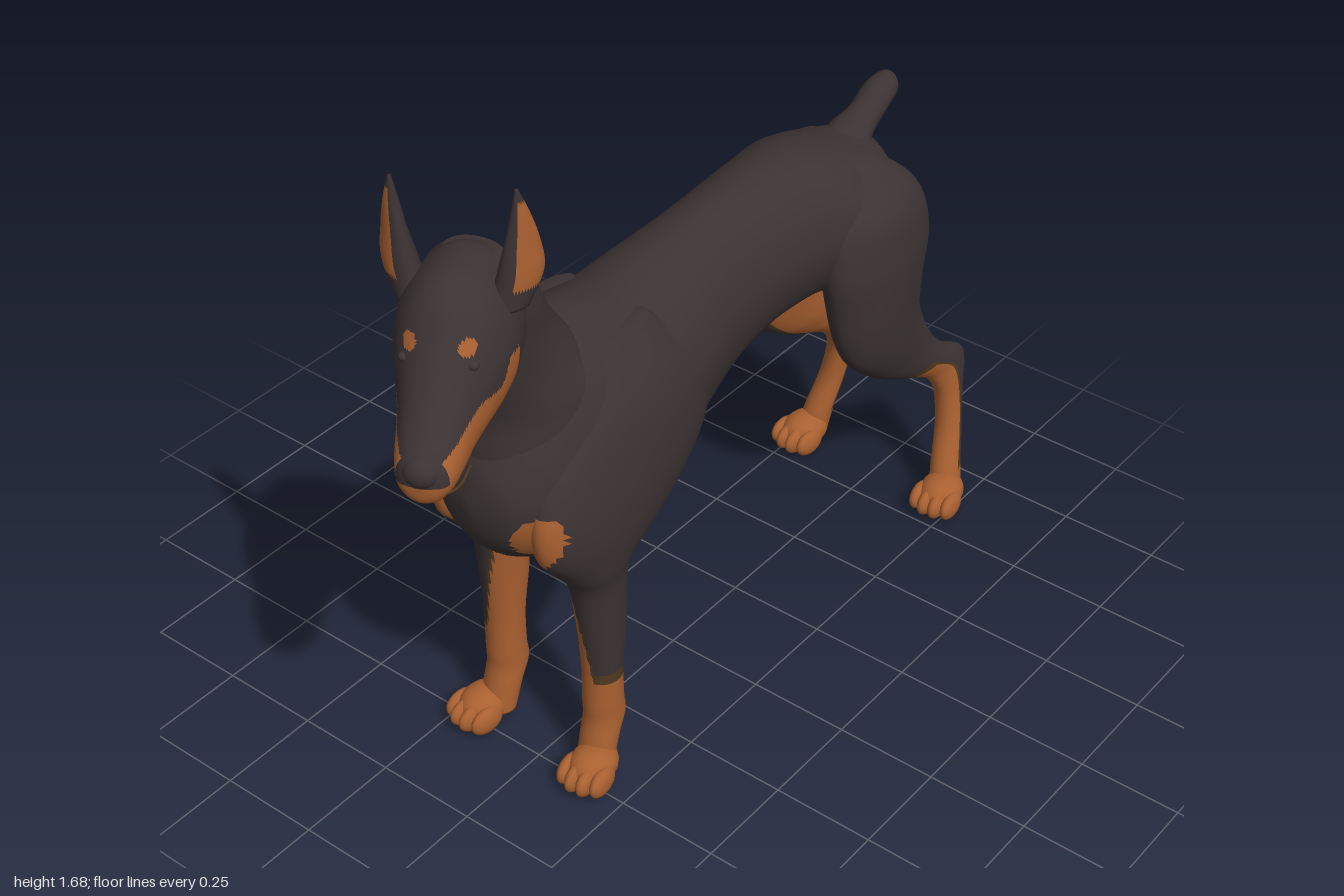
import * as THREE from 'three';

const material = (name, color) => Object.assign(new THREE.MeshStandardMaterial({ color }), { name });

// Smooth value between rows b and c of a profile
const spline = (a, b, c, d, t) =>
  b + 0.5 * t * (c - a + t * (2 * a - 5 * b + 4 * c - d + t * (3 * (b - c) + d - a)));

const COAT = 0, BLEND = 1, TAN = 2;
const band = (score) => (score < 0 ? COAT : score < 0.12 ? BLEND : TAN);

export function createModel() {
  const model = new THREE.Group();
  model.name = 'dog';
  const furs = [material('darkCoat', 0x3b3233), material('blendBrown', 0x4f3a1f), material('tanMarkings', 0xa96030)];

  // Oval cross-sections. Row: [position, centre x, half width, low, high].
  // axis 'z': rows run back to front, low/high are heights.
  // axis 'y': rows run top to bottom, low/high are depths.
  // paint(x, y, z, u, v) picks a fur for each face; u, v are the ring direction.
  function loft(name, parent, axis, rows, paint = () => COAT, sides = 48, steps = 8) {
    const pos = [], rings = [], lists = [[], [], []];
    const at = (i) => rows[Math.min(Math.max(i, 0), rows.length - 1)];
    for (let i = 0; i < rows.length - 1; i++)
      for (let k = 0; k < steps; k++)
        rings.push(rows[i].map((_, c) => spline(at(i - 1)[c], at(i)[c], at(i + 1)[c], at(i + 2)[c], k / steps)));
    rings.push(rows[rows.length - 1]);
    const put = (p, x, w) => (axis === 'z' ? pos.push(x, w, p) : pos.push(x, p, w));
    for (const [p, cx, hw, lo, hi] of rings)
      for (let j = 0; j < sides; j++) {
        const a = (j / sides) * Math.PI * 2;
        put(p, cx + Math.max(hw, 0.001) * Math.cos(a), (lo + hi) / 2 + ((hi - lo) / 2) * Math.sin(a));
      }
    const face = (a, b, c, ang) => {
      const m = [0, 1, 2].map((k) => (pos[a * 3 + k] + pos[b * 3 + k] + pos[c * 3 + k]) / 3);
      lists[paint(...m, Math.cos(ang), Math.sin(ang))].push(a, b, c);
    };
    const last = rings.length - 1, ends = [rings[0], rings[last]].map(([p, cx, , lo, hi]) => {
      put(p, cx, (lo + hi) / 2);
      return pos.length / 3 - 1;
    });
    for (let j = 0; j < sides; j++) {
      const n = (j + 1) % sides, ang = ((j + 0.5) / sides) * Math.PI * 2;
      for (let i = 0; i < last; i++) {
        const a = i * sides + j, b = i * sides + n;
        face(a, b, a + sides, ang);
        face(b, b + sides, a + sides, ang);
      }
      face(n, j, ends[0], ang);
      face(last * sides + j, last * sides + n, ends[1], ang);
    }
    const geo = new THREE.BufferGeometry();
    geo.setAttribute('position', new THREE.Float32BufferAttribute(pos, 3));
    geo.setIndex(lists.flat());
    let start = 0;
    lists.forEach((l, m) => { if (l.length) geo.addGroup(start, l.length, m); start += l.length; });
    geo.computeVertexNormals();
    const mesh = new THREE.Mesh(geo, furs);
    mesh.name = name;
    parent.add(mesh);
  }

  function ball(name, parent, mat, p, r) {
    const mesh = new THREE.Mesh(new THREE.SphereGeometry(1, 18, 12), mat);
    mesh.name = name;
    mesh.position.set(...p);
    mesh.scale.set(...r);
    parent.add(mesh);
  }

  const MID = -0.02; // the trunk sits slightly off centre
  const chestSpot = (x, y, z) => {
    const dx = Math.abs(x - MID) - 0.137 - (y - 0.76) * 0.25;
    return z > 0.46 && (dx / 0.05) ** 2 + ((y - 0.76) / 0.075) ** 2 < 1;
  };

  // Trunk: rump, tucked waist, deep chest
  loft('body', model, 'z', [
    [-0.78, 0.01, 0.94, 0.98], [-0.765, 0.07, 0.85, 1.05], [-0.72, 0.13, 0.8, 1.1], [-0.62, 0.18, 0.78, 1.135],
    [-0.5, 0.188, 0.78, 1.172], [-0.4, 0.168, 0.79, 1.185], [-0.25, 0.153, 0.785, 1.187], [-0.1, 0.153, 0.745, 1.18],
    [0.05, 0.18, 0.69, 1.165], [0.2, 0.203, 0.63, 1.155], [0.35, 0.2, 0.585, 1.185], [0.45, 0.188, 0.592, 1.19],
    [0.54, 0.168, 0.63, 1.1], [0.61, 0.137, 0.68, 1.01], [0.655, 0.085, 0.745, 0.93], [0.673, 0.01, 0.82, 0.85],
  ].map(([z, w, lo, hi]) => [z, MID, w, lo, hi]), (x, y, z, u, v) => {
    if (chestSpot(x, y, z)) return TAN;
    if (z < -0.6) return band(Math.min((0.125 - Math.abs(x - MID)) * 8, (1.06 - y - Math.abs(x - MID) * 0.5) * 5));
    if (z < -0.38) return v < -0.9 ? TAN : COAT;
    return z < 0.58 && v < (z < 0.3 ? -0.8 : -0.9) ? BLEND : COAT;
  });

  // Neck, with a small tan throat
  loft('neck', model, 'y', [
    [1.48, 0.02, 0.07, 0.6, 0.7], [1.42, 0.0, 0.11, 0.545, 0.72], [1.34, -0.01, 0.122, 0.49, 0.71],
    [1.25, -0.02, 0.125, 0.44, 0.69], [1.15, -0.02, 0.13, 0.365, 0.66], [1.05, -0.02, 0.15, 0.28, 0.635],
    [0.92, -0.02, 0.15, 0.25, 0.645], [0.8, -0.02, 0.1, 0.3, 0.6],
  ], (x, y, z, u, v) => band(Math.min((v - 0.87) * 2, (y - 1.1) * 5, (1.25 - y) * 5)));

  // Docked tail
  loft('tail', model, 'z', [
    [-0.862, MID, 0.006, 1.155, 1.18], [-0.85, MID, 0.03, 1.13, 1.198], [-0.8, MID, 0.04, 1.108, 1.193],
    [-0.74, MID, 0.042, 1.066, 1.158], [-0.68, MID, 0.06, 1.03, 1.135], [-0.6, MID, 0.03, 1.04, 1.12],
  ]);

  // Head, turned a little to its left
  const head = new THREE.Group();
  head.name = 'head';
  head.position.set(0.035, 0, 0.717);
  head.rotation.y = 0.45;
  model.add(head);
  loft('skullAndMuzzle', head, 'z', [
    [-0.16, 0.01, 1.35, 1.38], [-0.14, 0.075, 1.27, 1.45], [-0.08, 0.112, 1.2, 1.495], [0, 0.125, 1.165, 1.505],
    [0.06, 0.12, 1.15, 1.5], [0.11, 0.105, 1.14, 1.475], [0.16, 0.085, 1.128, 1.405], [0.2, 0.075, 1.12, 1.345],
    [0.25, 0.066, 1.12, 1.285], [0.285, 0.054, 1.128, 1.248], [0.303, 0.034, 1.145, 1.225], [0.31, 0.004, 1.18, 1.19],
  ].map(([z, w, lo, hi]) => [z, 0, w, lo, hi]), (x, y, z) => {
    const ax = Math.abs(x);
    if (Math.hypot(ax - 0.058, y - 1.4, (z - 0.14) * 0.7) < 0.018) return TAN;
    const t = THREE.MathUtils.smoothstep(z, 0.06, 0.1);
    const edge = 1.335 - 0.05 * t - Math.max(z - 0.16, 0) * 0.45;
    if (z < 0.02 || y > edge || (ax < 0.032 && y > 1.2)) return COAT;
    return z > 0.285 && y > 1.18 ? COAT : TAN;
  }, 96, 16);
  ball('nose', head, furs[COAT], [0, 1.205, 0.29], [0.038, 0.034, 0.028]);
  for (const s of [1, -1]) {
    // Mouth line along each lip
    const lip = new THREE.CatmullRomCurve3([[0.01, 1.162, 0.304], [0.044, 1.157, 0.285], [0.062, 1.153, 0.25], [0.07, 1.165, 0.2]]
      .map(([x, y, z]) => new THREE.Vector3(s * x, y, z)));
    const mouth = new THREE.Mesh(new THREE.TubeGeometry(lip, 16, 0.003, 6), furs[BLEND]);
    mouth.name = 'mouthLine';
    head.add(mouth);
    ball('eye', head, furs[COAT], [s * 0.069, 1.365, 0.145], [0.012, 0.01, 0.013]);

    // Cropped pointed ear, opening forward and outward, tan inside a dark rim
    const ear = new THREE.Group();
    ear.name = s > 0 ? 'leftEar' : 'rightEar';
    ear.position.set(s * 0.125, 0, 0);
    ear.rotation.y = s * 0.85;
    head.add(ear);
    loft('earFlap', ear, 'y', [
      [1.677, 0, 0.003, -0.004, 0.003], [1.62, 0.008, 0.02, -0.018, 0.01], [1.55, 0.013, 0.039, -0.032, 0.014],
      [1.48, 0.012, 0.051, -0.05, 0.018], [1.41, -0.01, 0.045, -0.06, 0.01],
    ].map(([y, x, ...r]) => [y, s * x, ...r]), (x, y, z, u, v) => (y > 1.455 && y < 1.65 && v > 0.1 && u * s > -0.62 ? TAN : COAT));
  }

  // Paw: pad and four toes, pointing forward
  function paw(name, x, z, turn) {
    const g = new THREE.Group();
    g.name = name;
    g.position.set(x, 0, z);
    g.rotation.y = turn;
    ball('pad', g, furs[TAN], [0, 0.046, 0], [0.055, 0.046, 0.068]);
    [-0.044, -0.015, 0.015, 0.044].forEach((tx) =>
      ball('toe', g, furs[TAN], [tx, 0.036, 0.052 - Math.abs(tx) * 0.45], [0.02, 0.035, 0.046]));
    model.add(g);
  }

  for (const s of [1, -1]) {
    const side = s > 0 ? 'left' : 'right';
    // Shoulder and foreleg
    loft(side + 'FrontLeg', model, 'y', [
      [1.13, 0.1, 0.035, 0.2, 0.4], [1.0, 0.125, 0.082, 0.09, 0.5], [0.85, 0.14, 0.087, 0.05, 0.605],
      [0.72, 0.143, 0.083, 0.15, 0.61], [0.62, 0.14, 0.072, 0.315, 0.54], [0.55, 0.14, 0.06, 0.345, 0.495],
      [0.42, 0.143, 0.052, 0.35, 0.475], [0.3, 0.145, 0.047, 0.366, 0.465], [0.2, 0.145, 0.046, 0.365, 0.465],
      [0.15, 0.145, 0.046, 0.36, 0.465], [0.1, 0.146, 0.046, 0.385, 0.475], [0.03, 0.148, 0.045, 0.41, 0.49],
    ].map(([y, x, ...r]) => [y, MID + s * x, ...r]), (x, y, z, u, v) => chestSpot(x, y, z) ? TAN : band(Math.max(
      (0.3 - y) * 5, (0.6 - y) * 3 - u * s - 0.9 + 0.3 * v, Math.min(-v - 0.75, (0.56 - y) * 5))));
    paw(side + 'FrontPaw', MID + s * 0.165, 0.478, s * 0.12);

    // Thigh, hock and rear pastern
    loft(side + 'HindLeg', model, 'y', [
      [1.12, 0.07, 0.03, -0.64, -0.52], [1.02, 0.122, 0.077, -0.745, -0.43], [0.9, 0.138, 0.085, -0.785, -0.41],
      [0.78, 0.143, 0.08, -0.765, -0.43], [0.68, 0.147, 0.07, -0.76, -0.455], [0.6, 0.15, 0.06, -0.79, -0.5],
      [0.52, 0.15, 0.048, -0.84, -0.59], [0.46, 0.155, 0.038, -0.895, -0.69], [0.41, 0.158, 0.033, -0.975, -0.79],
      [0.37, 0.16, 0.033, -0.992, -0.845], [0.3, 0.167, 0.034, -0.975, -0.885], [0.2, 0.182, 0.035, -0.952, -0.885],
      [0.1, 0.2, 0.038, -0.93, -0.85], [0.03, 0.212, 0.04, -0.92, -0.83],
    ].map(([y, x, ...r]) => [y, -0.005 + s * x, ...r]), (x, y, z, u, v) => band(Math.max((0.12 - y) * 5,
      Math.min(-u * s - 0.3 - 0.2 * v, (y - 0.42) * 6, (1.03 - y) * 5), Math.min(v + 0.1, (0.46 - y) * 6))));
    paw(side + 'HindPaw', s * 0.217, -0.842, s * 0.1);
  }
  return model;
}
